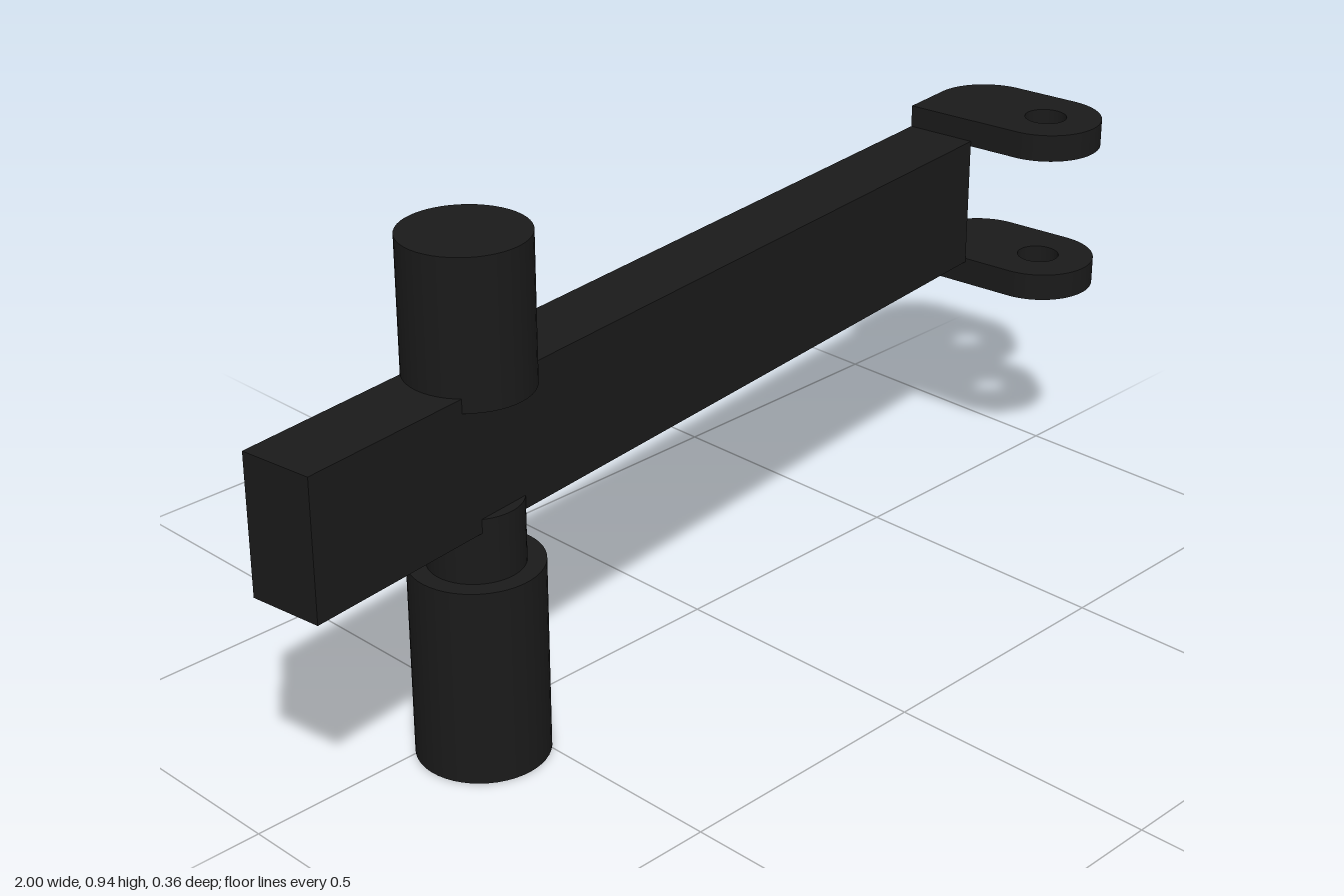
import * as THREE from 'three';

export function createModel() {
  const model = new THREE.Group();
  const material = new THREE.MeshStandardMaterial({ color: 0x1a1a1a });

  const add = (parent, name, geometry, x, y, z) => {
    const mesh = new THREE.Mesh(geometry, material);
    mesh.name = name;
    mesh.position.set(x, y, z);
    parent.add(mesh);
    return mesh;
  };

  // Bar and fork share a frame turned slightly about the vertical
  const length = 1.772, thickness = 0.137;
  const arm = new THREE.Group();
  arm.name = 'arm';
  arm.position.set(-0.112, 0, 0.005);
  arm.rotation.y = 0.115;
  model.add(arm);
  add(arm, 'bar', new THREE.BoxGeometry(length, 0.25, thickness), 0, 0.575, 0);

  // Fork plate: one square corner at the bar, rounded elsewhere, with a pin hole
  const r = 0.107, pin = 0.236;
  const outline = new THREE.Shape();
  outline.moveTo(0, 0);
  outline.lineTo(r, 0);
  outline.absarc(r, r, r, -Math.PI / 2, 0, false);
  outline.lineTo(2 * r, pin);
  outline.absarc(r, pin, r, 0, Math.PI, false);
  outline.closePath();
  const hole = new THREE.Path();
  hole.absarc(r, pin, 0.04, 0, Math.PI * 2, true);
  outline.holes.push(hole);
  const plate = new THREE.ExtrudeGeometry(outline, { depth: 0.052, bevelEnabled: false, curveSegments: 24 });
  plate.rotateX(Math.PI / 2);
  for (const [name, top] of [['upperForkPlate', 0.742], ['lowerForkPlate', 0.457]]) {
    add(arm, name, plate, length / 2, top, -thickness / 2);
  }

  // Upright post crossing the bar: lower grip, neck, upper stub
  const post = (name, radius, bottom, top) =>
    add(model, name, new THREE.CylinderGeometry(radius, radius, top - bottom, 48),
      -0.576, (bottom + top) / 2, 0.063);
  post('lowerGrip', 0.115, 0, 0.358);
  post('neck', 0.083, 0.358, 0.475);
  post('upperStub', 0.109, 0.675, 0.936);

  return model;
}
